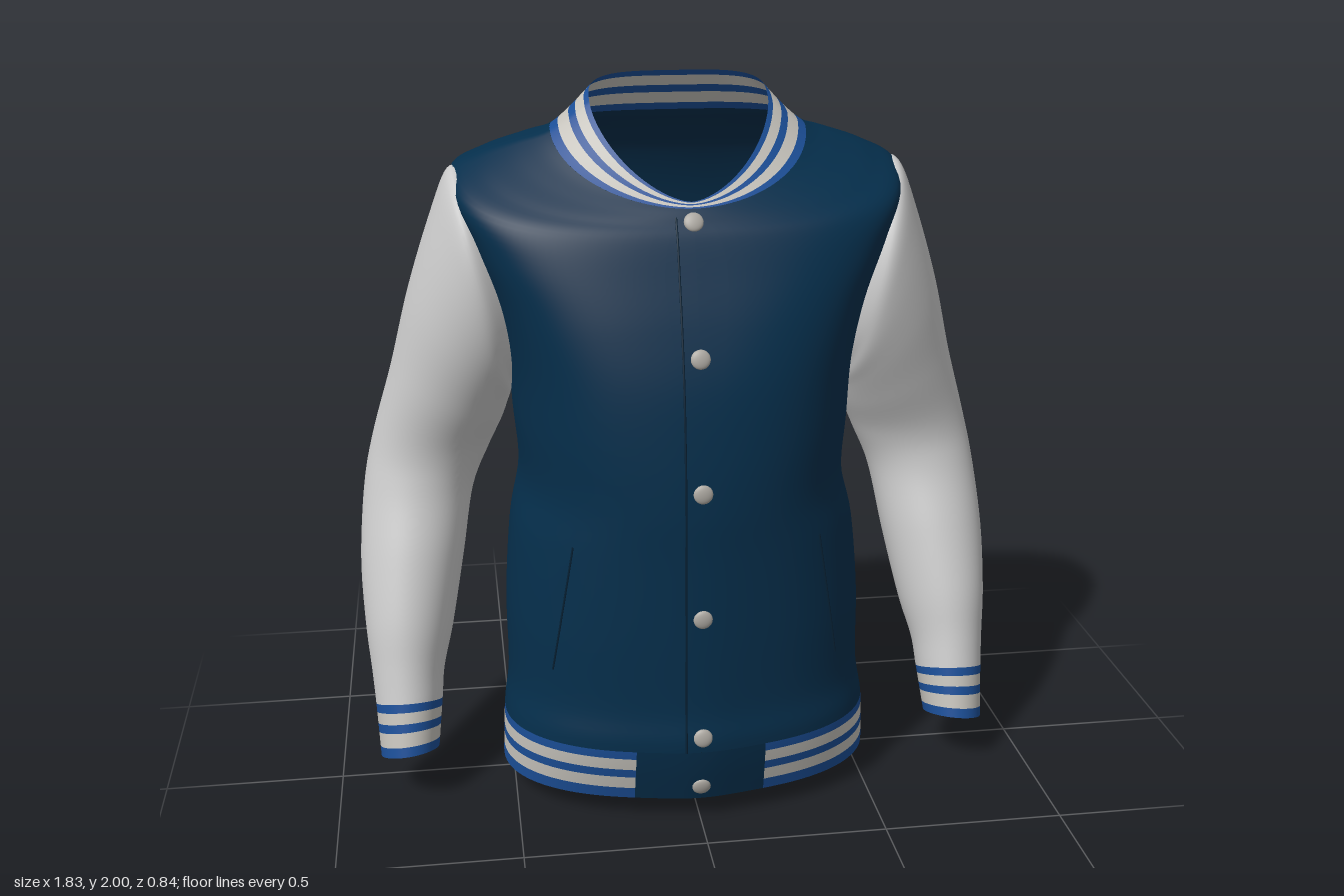
import * as THREE from 'three';

const TAU = Math.PI * 2;

// Torso rings, bottom to top: y front/side/back, half width, z front/side/back, squareness front/back
const TORSO = [
  [0.065, 0.065, 0.0, 0.53, 0.372, 0.03, -0.25, 2.2, 2.4],
  [0.23, 0.22, 0.15, 0.522, 0.412, 0.03, -0.33, 2.2, 2.5],
  [0.35, 0.34, 0.29, 0.506, 0.402, 0.01, -0.335, 2.2, 2.5],
  [0.55, 0.55, 0.52, 0.505, 0.402, -0.01, -0.35, 2.2, 2.6],
  [0.78, 0.77, 0.76, 0.486, 0.4, -0.03, -0.365, 2.2, 2.8],
  [0.92, 0.92, 0.92, 0.455, 0.4, -0.06, -0.378, 2.3, 3],
  [1.08, 1.08, 1.08, 0.465, 0.388, -0.09, -0.392, 2.5, 3.2],
  [1.25, 1.25, 1.25, 0.475, 0.363, -0.12, -0.408, 2.8, 3.7],
  [1.4, 1.43, 1.43, 0.508, 0.322, -0.125, -0.414, 3.1, 4.4],
  [1.53, 1.62, 1.62, 0.57, 0.275, -0.12, -0.388, 3.1, 4.2],
  [1.62, 1.745, 1.75, 0.612, 0.24, -0.115, -0.345, 2.7, 3.4],
  [1.655, 1.795, 1.81, 0.535, 0.218, -0.1, -0.3, 2.4, 3.2],
  [1.675, 1.83, 1.85, 0.435, 0.206, -0.08, -0.255, 2.1, 3],
  [1.69, 1.86, 1.885, 0.345, 0.195, -0.06, -0.215, 1.9, 3],
  [1.705, 1.935, 2.0, 0.24, 0.18, -0.05, -0.14, 1.6, 3.6],
];

// Sleeve rings, cuff to shoulder: inner x/y, outer x/y, z front/back, forward tilt
const SLEEVE = [
  [0.715, 0.14, 0.88, 0.12, 0.2, 0.0, 0.03],
  [0.7, 0.265, 0.888, 0.26, 0.16, -0.055, 0.042],
  [0.69, 0.35, 0.895, 0.35, 0.135, -0.095, 0.05],
  [0.66, 0.46, 0.907, 0.48, 0.105, -0.165, 0.055],
  [0.62, 0.65, 0.912, 0.65, 0.045, -0.25, 0.05],
  [0.585, 0.83, 0.893, 0.85, -0.015, -0.312, 0.02],
  [0.535, 0.95, 0.86, 1.0, -0.025, -0.33, 0],
  [0.495, 1.04, 0.8, 1.2, 0.02, -0.34, 0],
  [0.476, 1.1, 0.742, 1.42, 0.065, -0.346, 0],
  [0.468, 1.13, 0.672, 1.63, 0.095, -0.348, 0],
  [0.46, 1.16, 0.62, 1.752, 0.1, -0.345, 0],
  [0.43, 1.18, 0.57, 1.752, 0.07, -0.32, 0],
];

// Smooth interpolation between table rows
function rowAt(table, t) {
  const last = table.length - 1;
  const i = Math.min(Math.floor(t), last - 1), f = t - i;
  const a = table[Math.max(i - 1, 0)], b = table[i], c = table[i + 1], d = table[Math.min(i + 2, last)];
  return b.map((v, k) => {
    const m0 = (c[k] - a[k]) / 2, m1 = (d[k] - v) / 2, f2 = f * f, f3 = f2 * f;
    return (2 * f3 - 3 * f2 + 1) * v + (f3 - 2 * f2 + f) * m0 + (3 * f2 - 2 * f3) * c[k] + (f3 - f2) * m1;
  });
}

// Angle 0 faces the front, a quarter turn is the model's left
function torsoPoint(t, angle) {
  const [yF, yS, yB, w, zF, zS, zB, nF, nB] = rowAt(TORSO, t);
  const s = Math.sin(angle), c = Math.cos(angle), n = c > 0 ? nF : nB;
  const x = Math.sign(s) * w * Math.abs(s) ** (2 / n);
  const k = Math.abs(c) ** (2 / n);
  // shallow hollow along the spine, slight ridge along the lower front opening
  const relief = c < 0
    ? 0.014 * Math.exp(-((x / 0.15) ** 2)) * Math.sin(Math.PI * t / (TORSO.length - 1))
    : -0.014 * k * (1 - Math.exp(-((x / 0.12) ** 2))) * Math.max(0, 1 - t / 8);
  return [x, yS + ((c > 0 ? yF : yB) - yS) * k, zS + ((c > 0 ? zF : zB) - zS) * k + relief];
}

function sleevePoint(t, angle, side) {
  const [xi, yi, xo, yo, zF, zB, tilt] = rowAt(SLEEVE, t);
  const s = Math.sin(angle * side), c = Math.cos(angle);
  return [side * ((xi + xo) / 2 + s * (xo - xi) / 2),
    (yi + yo) / 2 + s * (yo - yi) / 2 + c * tilt,
    (zF + zB) / 2 + c * (zF - zB) / 2];
}

// Surface patch between two heights and two angles
function loft(point, t0, t1, rows, a0 = 0, a1 = TAU, cols = 96) {
  const closed = a1 - a0 > TAU - 1e-6, n = closed ? cols : cols + 1;
  const pos = [], index = [];
  for (let i = 0; i <= rows; i++)
    for (let j = 0; j < n; j++) pos.push(...point(t0 + (t1 - t0) * i / rows, a0 + (a1 - a0) * j / cols));
  for (let i = 0; i < rows; i++)
    for (let j = 0; j < cols; j++) {
      const k = (j + 1) % n, a = i * n + j, b = i * n + k;
      index.push(a, b, b + n, a, b + n, a + n);
    }
  const g = new THREE.BufferGeometry();
  g.setAttribute('position', new THREE.Float32BufferAttribute(pos, 3));
  g.setIndex(index);
  g.computeVertexNormals();
  return g;
}

// Point on the front panel at a given x and centre-line height
function onFront(x, y) {
  let lo = 0, hi = TORSO.length - 1;
  for (let i = 0; i < 30; i++) {
    const mid = (lo + hi) / 2;
    if (rowAt(TORSO, mid)[0] < y) lo = mid; else hi = mid;
  }
  const row = rowAt(TORSO, lo);
  const angle = Math.sign(x) * Math.asin((Math.abs(x) / row[3]) ** (row[7] / 2));
  return new THREE.Vector3(...torsoPoint(lo, angle));
}

export function createModel() {
  const jacket = new THREE.Group();
  jacket.name = 'jacket';
  const material = (name, color) => {
    const m = new THREE.MeshStandardMaterial({ color, side: THREE.DoubleSide });
    m.name = name;
    return m;
  };
  const navy = material('navy cloth', 0x052e4b);
  const blue = material('blue rib', 0x1b4e96);
  const pale = material('pale rib', 0xc4c1ba);
  const white = material('sleeve white', 0xcacaca);
  const metal = material('button metal', 0xaca8a1);
  const dark = material('seam navy', 0x062236);

  const add = (name, geometry, mat, parent = jacket) => {
    const mesh = new THREE.Mesh(geometry, mat);
    mesh.name = name;
    parent.add(mesh);
    return mesh;
  };

  // Ribbed trim: five alternating bands
  function ribbing(name, point, t0, t1, edges, a0, a1) {
    const group = new THREE.Group();
    group.name = name;
    jacket.add(group);
    for (let i = 0; i < 5; i++) {
      const at = (e) => t0 + (t1 - t0) * e;
      add(i % 2 ? 'paleBand' : 'blueBand', loft(point, at(edges[i]), at(edges[i + 1]), 2, a0, a1), i % 2 ? pale : blue, group);
    }
  }

  // Torso, hem and collar
  const neck = TORSO.length - 2;
  add('torso', loft(torsoPoint, 1, neck, 72, 0, TAU, 128), navy);
  const gap = Math.asin((0.18 / 0.525) ** 1.1);
  ribbing('hem', torsoPoint, 0, 1, [0, 0.28, 0.5, 0.64, 0.84, 1], gap, TAU - gap);
  add('hemPlacket', loft(torsoPoint, 0, 1, 4, -gap, gap, 16), navy);
  ribbing('collar', torsoPoint, neck, neck + 1, [0, 0.2, 0.44, 0.59, 0.82, 1], 0, TAU);

  // Sleeves and cuffs
  for (const side of [1, -1]) {
    const label = side > 0 ? 'left' : 'right';
    const point = (t, a) => sleevePoint(t, a, side);
    add(label + 'Sleeve', loft(point, 1, SLEEVE.length - 1, 60, 0, TAU, 64), white);
    ribbing(label + 'Cuff', point, 0, 1, [0, 0.25, 0.5, 0.64, 0.83, 1], 0, TAU);
  }

  // Fine seam lines lying on the front panel
  const seam = (name, x0, y0, x1, y1) => {
    const points = Array.from({ length: 25 }, (_, i) => {
      const p = onFront(x0 + (x1 - x0) * i / 24, y0 + (y1 - y0) * i / 24);
      p.z += 0.002;
      return p;
    });
    add(name, new THREE.TubeGeometry(new THREE.CatmullRomCurve3(points), 48, 0.003, 6), dark);
  };
  seam('frontOpening', -0.045, 1.67, -0.045, 0.23);
  for (const side of [1, -1]) seam('pocketOpening', side * 0.335, 0.81, side * 0.395, 0.44);

  // Snap buttons: low domes turned to follow the front
  const dome = new THREE.SphereGeometry(0.026, 24, 8, 0, TAU, 0, Math.PI / 2);
  dome.rotateX(Math.PI / 2);
  dome.scale(1, 1, 0.4);
  for (const y of [1.66, 1.33, 0.98, 0.625, 0.275, 0.11]) {
    const p = onFront(0, y), q = onFront(0, y + 0.02);
    const button = add('button', dome, metal);
    button.position.copy(p);
    button.position.z += 0.002;
    button.rotation.x = Math.atan2(q.z - p.z, q.y - p.y);
  }
  return jacket;
}
